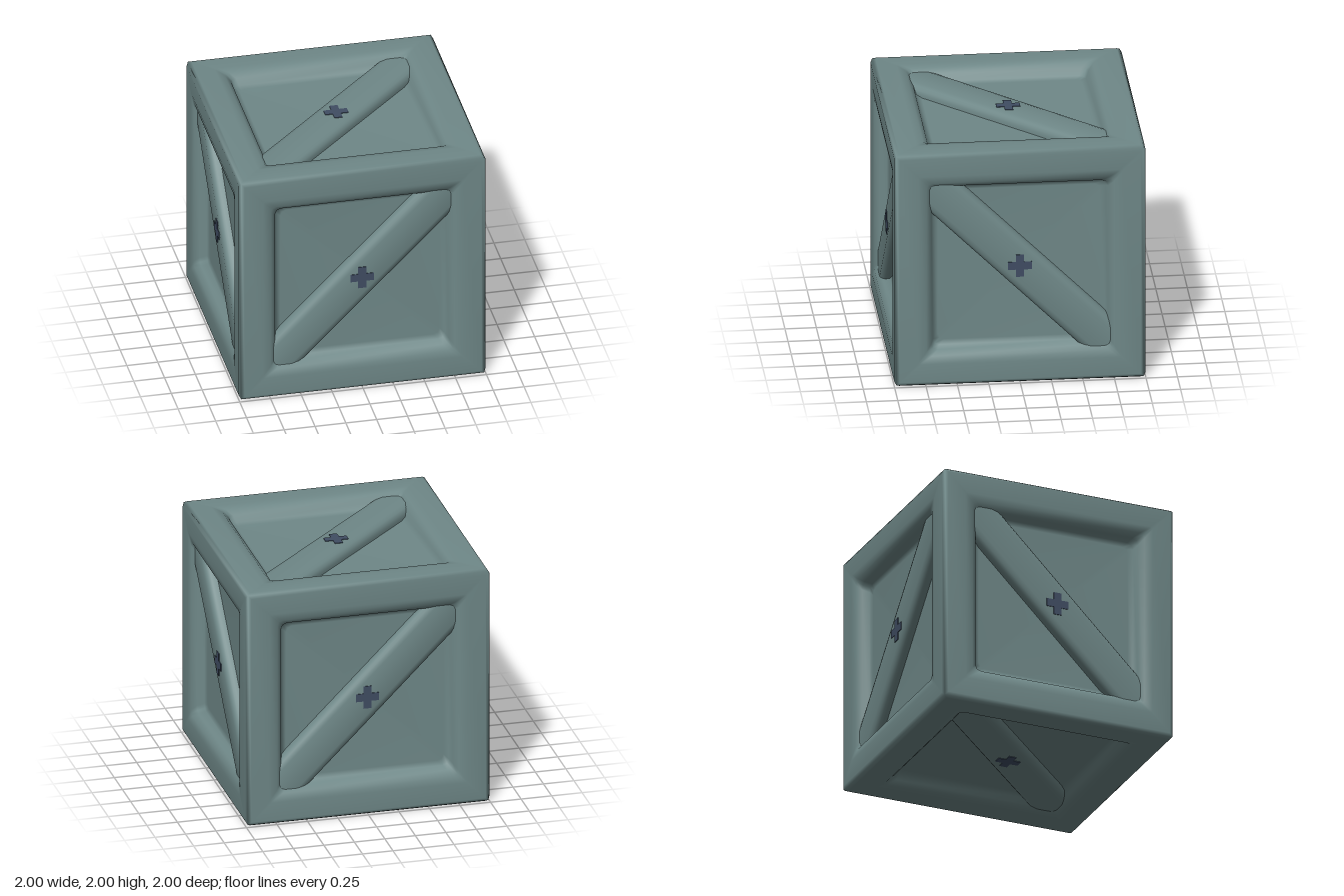
import * as THREE from 'three';
import { mergeGeometries, mergeVertices, toCreasedNormals } from 'three/addons/utils/BufferGeometryUtils.js';

const Q = Math.PI / 2;
// One rotation per cube face; the sides marked with a roll carry the mirrored diagonal
const FACES = [
  ['front', 0, 0, 0],
  ['back', 0, Math.PI, 0],
  ['left', 0, Q, Q],
  ['right', 0, -Q, Q],
  ['top', -Q, 0, 0],
  ['bottom', Q, 0, 0],
];

// Nested square rings from the cube edge to the sunken panel: half size, height, corner radius
const RINGS = [
  [0.985, 0.985, 0],
  [0.96, 1, 0],
  [0.81, 1, 0.02],
  [0.745, 0.988, 0.04],
  [0.705, 0.95, 0.05],
  [0.685, 0.895, 0.05],
  [0.645, 0.88, 0.05],
];

function faceGeometry() {
  const pos = [], index = [], n = 12;
  for (const [h, z, r] of RINGS) {
    for (let c = 0; c < 4; c++) {
      for (let k = 0; k < 3; k++) {
        const corner = Q / 2 + c * Q, a = c * Q + k * Q / 2;
        const m = (h - r) * Math.SQRT2;
        pos.push(m * Math.cos(corner) + r * Math.cos(a), m * Math.sin(corner) + r * Math.sin(a), z);
      }
    }
  }
  for (let j = 0; j < RINGS.length - 1; j++) {
    for (let i = 0; i < n; i++) {
      const a = j * n + i, b = j * n + (i + 1) % n;
      index.push(a, b, b + n, a, b + n, a + n);
    }
  }
  // Flat panel in the middle
  const last = (RINGS.length - 1) * n, centre = pos.length / 3;
  pos.push(0, 0, RINGS[RINGS.length - 1][1]);
  for (let i = 0; i < n; i++) index.push(last + i, last + (i + 1) % n, centre);
  const g = new THREE.BufferGeometry();
  g.setAttribute('position', new THREE.Float32BufferAttribute(pos, 3));
  g.setIndex(index);
  return g;
}

// Diagonal brace with a rounded cross-section, its ends buried in the frame
function braceGeometry() {
  const half = [[0.17, 0.84], [0.17, 0.9], [0.163, 0.93], [0.142, 0.953], [0.105, 0.965]];
  const points = [...half, ...half.map(([x, y]) => [-x, y]).reverse()];
  const shape = new THREE.Shape(points.map(([x, y]) => new THREE.Vector2(x, y)));
  const g = new THREE.ExtrudeGeometry(shape, { depth: 2.1, bevelEnabled: false });
  g.translate(0, 0, -1.05).rotateX(Q).rotateZ(-Q / 2);
  return toCreasedNormals(g, 0.9);
}

// Thin cross plate on the middle of the brace
function crossGeometry() {
  const a = 0.095, b = 0.033;
  const points = [[a, -b], [a, b], [b, b], [b, a], [-b, a], [-b, b], [-a, b], [-a, -b], [-b, -b], [-b, -a], [b, -a], [b, -b]];
  const shape = new THREE.Shape(points.map(([x, y]) => new THREE.Vector2(x, y)));
  return new THREE.ExtrudeGeometry(shape, { depth: 0.008, bevelEnabled: false }).translate(0, 0, 0.962);
}

export function createModel() {
  const metal = new THREE.MeshStandardMaterial({ color: 0x6f8888 });
  metal.name = 'grey teal';
  const dark = new THREE.MeshStandardMaterial({ color: 0x404d63 });
  dark.name = 'dark slate blue';

  const model = new THREE.Group();
  model.name = 'crate';
  model.position.y = 1;

  // Closed crate body, smoothed across all six faces
  const sides = FACES.map(([, x, y, z]) => {
    const m = new THREE.Matrix4().makeRotationFromEuler(new THREE.Euler(x, y, z));
    return faceGeometry().applyMatrix4(m);
  });
  const bodyGeometry = mergeVertices(mergeGeometries(sides), 1e-4);
  bodyGeometry.computeVertexNormals();
  const body = new THREE.Mesh(bodyGeometry, metal);
  body.name = 'crateBody';
  model.add(body);

  // Brace and cross on every face
  const braceShape = braceGeometry(), crossShape = crossGeometry();
  for (const [name, x, y, z] of FACES) {
    const side = new THREE.Group();
    side.name = name + 'Trim';
    side.rotation.set(x, y, z);
    const brace = new THREE.Mesh(braceShape, metal);
    brace.name = name + 'Brace';
    const cross = new THREE.Mesh(crossShape, dark);
    cross.name = name + 'Cross';
    side.add(brace, cross);
    model.add(side);
  }

  const root = new THREE.Group();
  root.name = 'model';
  root.add(model);
  return root;
}
